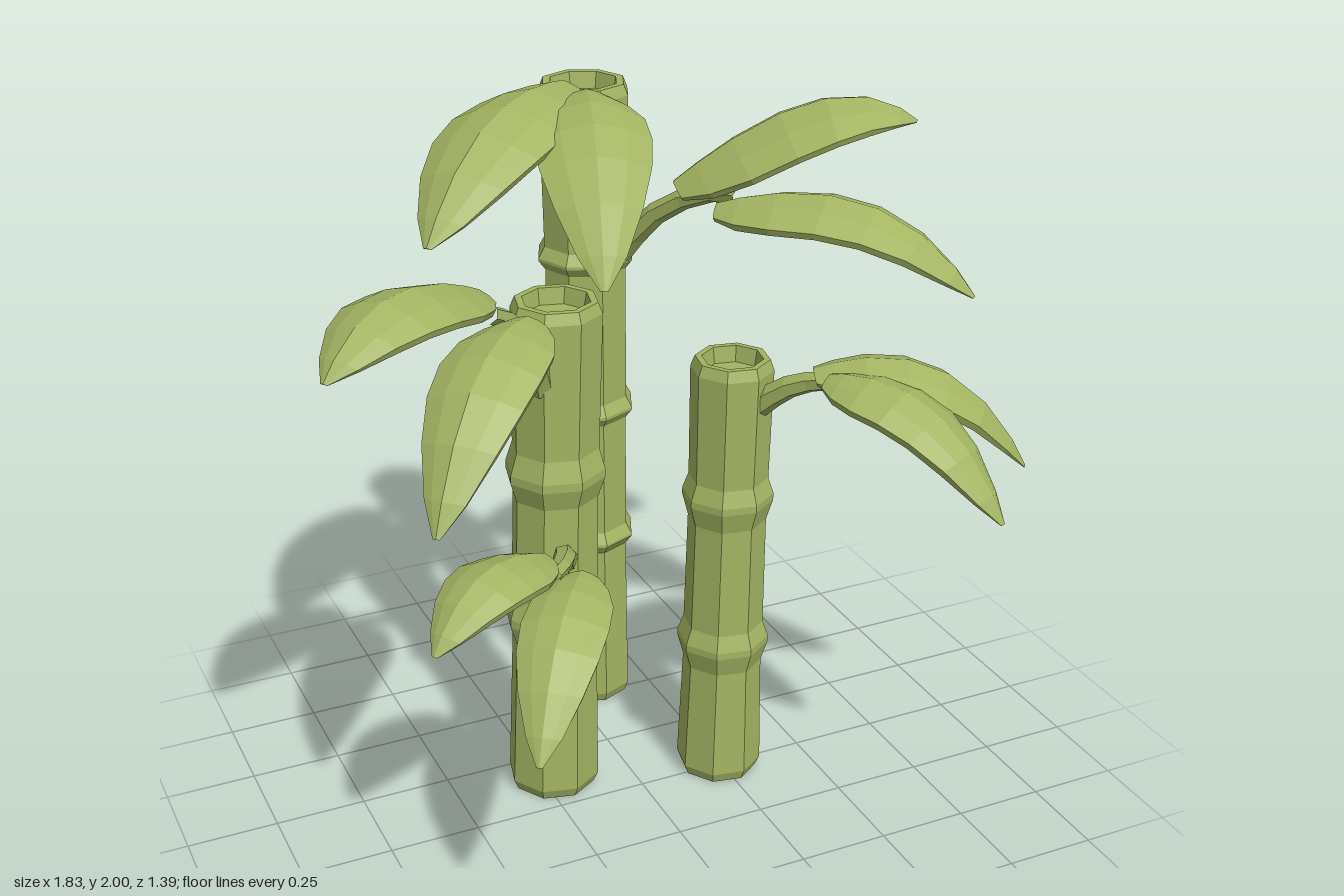
import * as THREE from 'three';

const green = new THREE.MeshStandardMaterial({ color: 0xa3b462, flatShading: true });
green.name = 'bamboo green';
const brown = new THREE.MeshStandardMaterial({ color: 0xb98a66, flatShading: true });
brown.name = 'cut base brown';

const v = (p) => new THREE.Vector3(...p);

function add(parent, name, geometry, material = green) {
  const mesh = new THREE.Mesh(geometry, material);
  mesh.name = name;
  parent.add(mesh);
  return mesh;
}

// Octagonal cane with swollen nodes, bevelled ends and a shallow hollow top
function makeStalk({ name, x, z, r, top, height, nodes, below, above, flat, lean = 0, turn = 0, base = green }) {
  const group = new THREE.Group();
  group.name = name;
  const profile = [[r * 0.9, 0], [r, 0.03]];
  for (const y of nodes) {
    const k = THREE.MathUtils.lerp(r, top, y / height);
    profile.push([k * 0.94, y - below], [k * 1.09, y - flat], [k * 1.09, y + flat], [k * 0.95, y + above]);
  }
  profile.push([top, height - 0.03], [top * 0.9, height], [top * 0.74, height],
    [top * 0.68, height - 0.045], [0, height - 0.045]);
  const geo = new THREE.LatheGeometry(profile.map(([a, b]) => new THREE.Vector2(a, b)), 8);
  geo.rotateY(turn);
  // Slight lean, sliding each level sideways
  const pos = geo.attributes.position;
  for (let i = 0; i < pos.count; i++) pos.setX(i, pos.getX(i) + lean * pos.getY(i) / height);
  geo.computeVertexNormals();
  add(group, 'cane', geo);
  const cut = new THREE.CircleGeometry(r * 0.9, 8);
  cut.rotateX(Math.PI / 2);
  cut.rotateY(turn);
  add(group, 'caneBase', cut, base);
  group.position.set(x, 0, z);
  return group;
}

// Thin arched blade lofted from a creased cross-section, its tip bending down
function makeLeaf([base, tip, midHeight, half]) {
  const a = v(base), b = v(tip);
  const ctrl = a.clone().lerp(b, 0.66);
  ctrl.y = 2 * midHeight - (a.y + b.y) / 2;
  const curve = new THREE.QuadraticBezierCurve3(a, ctrl, b);
  const stations = [[0, 0.4], [0.07, 0.7], [0.19, 0.94], [0.36, 1], [0.54, 0.93], [0.73, 0.72], [0.9, 0.4], [1, 0.07]];
  const across = [-1, -0.55, 0, 0.55, 1];
  const ring = [...across.map((s) => [s, 0]), ...across.map((s) => [-s * 0.95, 1])];
  const n = ring.length, verts = [], index = [];
  stations.forEach(([t, w], i) => {
    const p = curve.getPoint(t), T = curve.getTangent(t);
    const S = T.clone().cross(new THREE.Vector3(0, 1, 0)).normalize();
    const N = S.clone().cross(T);
    const width = w * half, thick = 0.022 * Math.min(1, w * 1.4);
    for (const [s, under] of ring) {
      const drop = -0.37 * width * Math.abs(s) ** 1.5 - under * thick;
      const q = p.clone().addScaledVector(S, s * width).addScaledVector(N, drop);
      verts.push(q.x, q.y, q.z);
    }
    if (i === 0) return;
    for (let j = 0; j < n; j++) {
      const k = (j + 1) % n, lo = (i - 1) * n, hi = i * n;
      index.push(lo + j, lo + k, hi + k, lo + j, hi + k, hi + j);
    }
  });
  // Close both ends
  const last = (stations.length - 1) * n;
  for (let j = 1; j < n - 1; j++) index.push(0, j + 1, j, last, last + j, last + j + 1);
  const geo = new THREE.BufferGeometry();
  geo.setAttribute('position', new THREE.Float32BufferAttribute(verts, 3));
  geo.setIndex(index);
  geo.computeVertexNormals();
  return geo;
}

// Curved twig, tapering toward the leaves
function makeTwig(points) {
  const curve = new THREE.CatmullRomCurve3(points.map(v));
  const segs = 5, sides = 6;
  const geo = new THREE.TubeGeometry(curve, segs, 0.036, sides);
  const pos = geo.attributes.position, q = new THREE.Vector3();
  for (let i = 0; i < pos.count; i++) {
    const t = Math.floor(i / (sides + 1)) / segs;
    const c = curve.getPointAt(t);
    q.fromBufferAttribute(pos, i).sub(c).multiplyScalar(1 - 0.35 * t).add(c);
    pos.setXYZ(i, q.x, q.y, q.z);
  }
  geo.computeVertexNormals();
  return geo;
}

export function createModel() {
  const model = new THREE.Group();
  model.name = 'bambooCluster';

  const stalks = [
    { name: 'tallStalk', x: 0.08, z: -0.56, r: 0.124, top: 0.13, height: 1.9, nodes: [0.545, 0.955, 1.41], below: 0.03, above: 0.035, flat: 0.004 },
    { name: 'middleStalk', x: -0.214, z: -0.145, r: 0.13, top: 0.124, height: 1.46, nodes: [0.545, 0.98], below: 0.07, above: 0.07, flat: 0.012, lean: 0.036, turn: 0.15 },
    { name: 'shortStalk', x: 0.248, z: -0.015, r: 0.12, top: 0.112, height: 1.27, nodes: [0.425, 0.87], below: 0.07, above: 0.055, flat: 0.01, lean: 0.02, turn: 0.2, base: brown },
  ];
  for (const s of stalks) model.add(makeStalk(s));

  // Each sprig: twig path, then leaves as base, tip, mid height, half width
  const sprigs = [
    { name: 'upperLeftSprig',
      twig: [[0.14, 1.41, -0.49], [0.21, 1.56, -0.38], [0.29, 1.65, -0.24], [0.33, 1.67, -0.12]],
      leaves: [[[0.23, 1.67, -0.31], [0.83, 1.83, -0.07], 1.885, 0.19], [[0.27, 1.66, -0.13], [0.78, 1.48, 0.33], 1.695, 0.15]] },
    { name: 'topRightSprig',
      twig: [[0.04, 1.83, -0.47], [-0.02, 1.9, -0.37], [-0.08, 1.94, -0.25], [-0.08, 1.94, -0.17]],
      leaves: [[[-0.08, 1.98, -0.31], [-0.6, 1.74, 0.1], 1.96, 0.16], [[-0.06, 1.98, -0.21], [-0.24, 1.65, 0.31], 1.925, 0.145]] },
    { name: 'middleRightSprig',
      twig: [[-0.25, 1.25, -0.08], [-0.3, 1.4, -0.02], [-0.38, 1.5, 0.04], [-0.45, 1.55, 0.1]],
      leaves: [[[-0.43, 1.57, -0.02], [-0.92, 1.53, 0.29], 1.66, 0.145], [[-0.36, 1.54, 0.12], [-0.75, 1.21, 0.52], 1.495, 0.13]] },
    { name: 'lowerRightSprig',
      twig: [[-0.21, 0.76, -0.04], [-0.26, 0.84, 0.08], [-0.31, 0.88, 0.19], [-0.37, 0.9, 0.27]],
      leaves: [[[-0.36, 0.93, 0.2], [-0.74, 0.85, 0.43], 0.985, 0.115], [[-0.29, 0.9, 0.27], [-0.57, 0.63, 0.66], 0.86, 0.11]] },
    { name: 'frontLeftSprig',
      twig: [[0.31, 1.15, 0.05], [0.36, 1.22, 0.12], [0.42, 1.26, 0.2], [0.45, 1.27, 0.27]],
      leaves: [[[0.4, 1.29, 0.18], [0.91, 1.02, 0.43], 1.29, 0.135], [[0.41, 1.3, 0.25], [0.67, 1.02, 0.69], 1.275, 0.125]] },
  ];
  for (const { name, twig, leaves } of sprigs) {
    const group = new THREE.Group();
    group.name = name;
    add(group, 'twig', makeTwig(twig));
    for (const leaf of leaves) add(group, 'leaf', makeLeaf(leaf));
    model.add(group);
  }
  return model;
}
